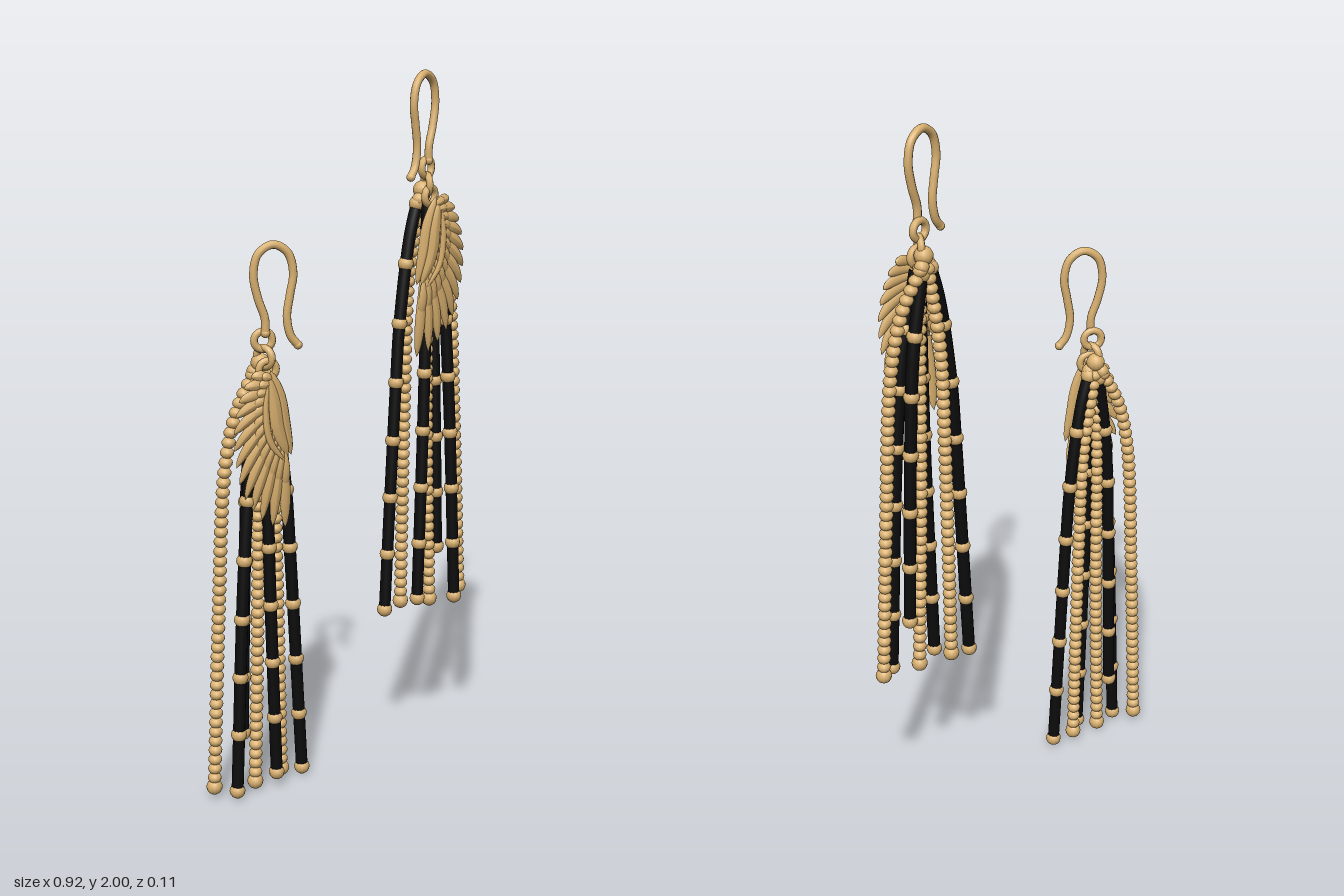
import * as THREE from 'three';
import { mergeGeometries } from 'three/addons/utils/BufferGeometryUtils.js';

const gold = new THREE.MeshStandardMaterial({ color: 0xd9b06f });
const black = new THREE.MeshStandardMaterial({ color: 0x0b0b0b });

const add = (group, name, geometry, material = gold) => {
  const mesh = new THREE.Mesh(geometry, material);
  mesh.name = name;
  group.add(mesh);
  return mesh;
};

const ball = (p, r, squash = 1) =>
  new THREE.SphereGeometry(r, 12, 8).scale(1, squash, 1).translate(p.x, p.y, p.z);

// Tube whose width follows a profile and which is flattened in z
function taper(curve, radius, flat, profile) {
  const seg = 12, rad = 8;
  const g = new THREE.TubeGeometry(curve, seg, 1, rad);
  const pos = g.attributes.position;
  const v = new THREE.Vector3();
  for (let i = 0; i <= seg; i++) {
    const c = curve.getPointAt(i / seg);
    const r = radius * Math.max(profile(i / seg), 0.02);
    for (let j = 0; j <= rad; j++) {
      const k = i * (rad + 1) + j;
      v.fromBufferAttribute(pos, k).sub(c).multiplyScalar(r);
      pos.setXYZ(k, c.x + v.x, c.y + v.y, c.z + v.z * flat);
    }
  }
  g.computeVertexNormals();
  return g;
}

const featherShape = t => Math.pow(Math.sin(Math.PI * (0.12 + 0.88 * Math.pow(t, 1.35))), 0.6);
const bodyShape = t => Math.sqrt(Math.sin(Math.PI * t));

// Strand paths: [x, y] points from top to bottom, with the z of the hanging part
const goldStrands = [
  { z: -0.03, pts: [[0.29, 1.63], [0.345, 1.53], [0.382, 1.38], [0.41, 0.97], [0.435, 0.455]] },
  { z: -0.012, pts: [[0.28, 1.63], [0.287, 1.4], [0.293, 1.0], [0.31, 0.445]] },
  { z: -0.025, pts: [[0.265, 1.63], [0.232, 1.4], [0.222, 1.1], [0.213, 0.455]] },
];
const blackStrands = [
  { z: -0.015, pts: [[0.255, 1.64], [0.228, 1.54], [0.195, 1.3], [0.182, 1.1], [0.148, 0.445]] },
  { z: 0.008, pts: [[0.27, 1.63], [0.27, 1.4], [0.267, 1.1], [0.25, 0.465]] },
  { z: 0.012, pts: [[0.28, 1.62], [0.325, 1.4], [0.352, 1.1], [0.385, 0.445]] },
  { z: -0.022, pts: [[0.28, 1.62], [0.312, 1.4], [0.328, 1.1], [0.343, 0.6]] },
];

// Primary feather tips, from the top round to the bottom
const tips = [
  [0.33, 1.64], [0.353, 1.612], [0.369, 1.576], [0.38, 1.535], [0.386, 1.49], [0.386, 1.443], [0.38, 1.396],
  [0.37, 1.348], [0.353, 1.303], [0.33, 1.267], [0.3, 1.235], [0.266, 1.212], [0.225, 1.2],
];

function earring(side) {
  const group = new THREE.Group();
  const P = (x, y, z = 0) => new THREE.Vector3(side * x, y, z);
  const curveOf = pts => new THREE.CatmullRomCurve3(pts);
  const path = s => curveOf(s.pts.map(([x, y]) => P(x, y, s.z)));

  // Ear hook, lying in a slightly turned plane
  const hook = curveOf([
    [0.188, 1.713], [0.206, 1.738], [0.216, 1.79], [0.208, 1.85], [0.199, 1.91], [0.213, 1.965], [0.25, 1.988],
    [0.288, 1.965], [0.301, 1.91], [0.29, 1.845], [0.273, 1.79], [0.272, 1.75],
  ].map(([x, y]) => P(x, y, (0.3 - x) * 0.36)));
  add(group, 'earHook', mergeGeometries([
    new THREE.TubeGeometry(hook, 64, 0.0115, 10),
    ball(hook.getPoint(0), 0.0125), ball(hook.getPoint(1), 0.013),
  ]));

  // Linked rings and the bead that gathers the strands
  const ring = (name, x, y, z, r, turn) => {
    const m = add(group, name, new THREE.TorusGeometry(r, 0.0105, 8, 24));
    m.position.copy(P(x, y, z));
    m.rotation.y = turn * side;
  };
  ring('hookRing', 0.273, 1.729, 0, 0.025, 0.35);
  ring('lowerLink', 0.272, 1.683, 0.003, 0.026, 1.25);
  ring('wingRing', 0.272, 1.652, 0.018, 0.024, 0.3);
  add(group, 'gatheringBead', mergeGeometries([
    ball(P(0.272, 1.665, -0.018), 0.026), ball(P(0.285, 1.64, -0.03), 0.02), ball(P(0.255, 1.64, -0.01), 0.02),
  ]));

  // Strands of small touching gold beads
  for (const s of goldStrands) {
    const c = path(s), n = Math.round(c.getLength() / 0.028), parts = [];
    for (let i = 0; i <= n; i++) parts.push(ball(c.getPointAt(i / n), i === n ? 0.023 : 0.0195, i === n ? 1 : 0.85));
    add(group, 'goldBeadStrand', mergeGeometries(parts));
  }

  // Black strands with evenly spaced gold beads
  for (const s of blackStrands) {
    const c = path(s), len = c.getLength(), beads = [];
    for (let d = 0; d < len; d += 0.17) beads.push(ball(c.getPointAt(1 - d / len), 0.0225));
    add(group, 'blackStrand', new THREE.TubeGeometry(c, 36, 0.0175, 10), black);
    add(group, 'strandBeads', mergeGeometries(beads));
  }

  // Wing: a row of long feathers, shorter coverts over it and a smooth leading edge
  const wing = new THREE.Group();
  wing.name = 'wing';
  group.add(wing);
  const roots = curveOf([P(0.278, 1.63), P(0.275, 1.56), P(0.26, 1.48), P(0.235, 1.42)]);
  const row = (name, reach, z, width) => {
    const parts = tips.map(([x, y], i) => {
      const t = i / (tips.length - 1);
      const a = roots.getPoint(t);
      const b = a.clone().lerp(P(x, y), reach);
      const m = a.clone().lerp(b, 0.5).add(P(0.022 * Math.sin(Math.PI * t), 0.012, 0));
      a.z = z; m.z = z + 0.006; b.z = z - 0.008;
      return taper(new THREE.QuadraticBezierCurve3(a, m, b), width * (1 + 0.15 * t), 0.5, featherShape);
    });
    add(wing, name, mergeGeometries(parts));
  };
  row('longFeathers', 1, 0.034, 0.0155);
  row('covertFeathers', 0.5, 0.041, 0.013);

  const edge = (name, pts, r, z) =>
    add(wing, name, taper(curveOf(pts.map(([x, y]) => P(x, y, z))), r, 0.45, bodyShape));
  edge('leadingEdge', [[0.278, 1.655], [0.25, 1.58], [0.235, 1.5], [0.212, 1.41]], 0.022, 0.04);
  edge('wingBody', [[0.285, 1.64], [0.27, 1.57], [0.258, 1.49], [0.225, 1.41]], 0.024, 0.043);
  edge('innerRidge', [[0.29, 1.62], [0.298, 1.55], [0.285, 1.46], [0.24, 1.4]], 0.011, 0.049);

  return group;
}

export function createModel() {
  const model = new THREE.Group();
  model.name = 'wingEarrings';
  const left = earring(1);
  left.name = 'leftEarring';
  const right = earring(-1);
  right.name = 'rightEarring';
  right.position.y = -0.42;
  model.add(left, right);
  return model;
}
